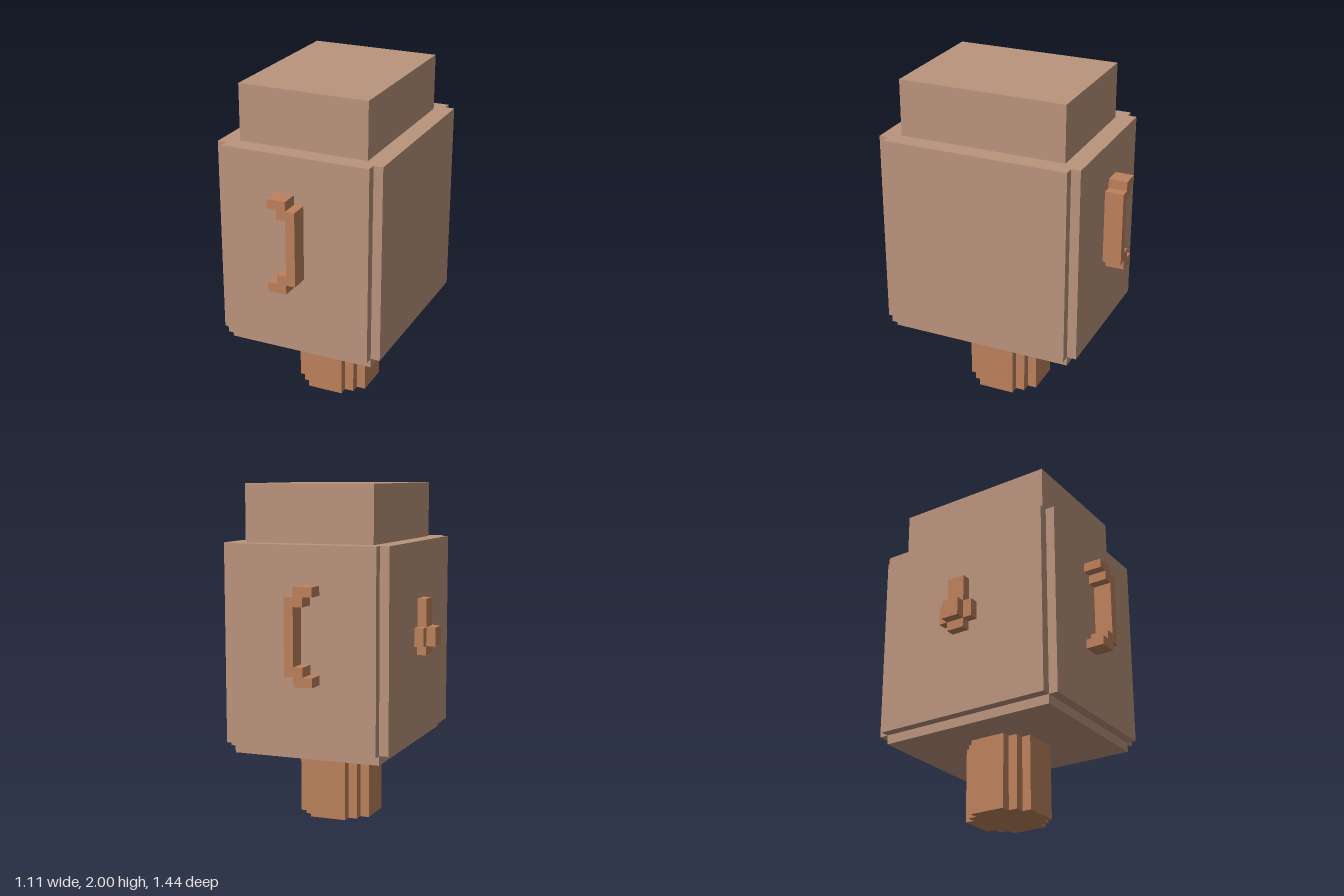
import * as THREE from 'three';

const U = 1 / 18; // one grid step

export function createModel() {
  const model = new THREE.Group();
  const clay = new THREE.MeshStandardMaterial({ name: 'pale clay', color: 0xba947c });
  const copper = new THREE.MeshStandardMaterial({ name: 'copper brown', color: 0xbc815c });

  // Box given by its two corners in grid steps
  const box = (name, mat, [x0, y0, z0], [x1, y1, z1], parent = model) => {
    const geo = new THREE.BoxGeometry((x1 - x0) * U, (y1 - y0) * U, (z1 - z0) * U);
    const mesh = new THREE.Mesh(geo, mat);
    mesh.name = name;
    mesh.position.set((x0 + x1) / 2 * U, (y0 + y1) / 2 * U, (z0 + z1) / 2 * U);
    parent.add(mesh);
    return mesh;
  };

  // Outline extruded towards +z
  const extrude = (points, depth) => new THREE.ExtrudeGeometry(
    new THREE.Shape(points.map(([x, y]) => new THREE.Vector2(x * U, y * U))),
    { depth: depth * U, bevelEnabled: false });

  // Upright prism with stepped corners; the corner steps are mirrored into all four quadrants
  const column = (name, mat, corner, y0, y1) => {
    const back = [...corner].reverse();
    const outline = [
      ...corner,
      ...back.map(([x, z]) => [-x, z]),
      ...corner.map(([x, z]) => [-x, -z]),
      ...back.map(([x, z]) => [x, -z]),
    ];
    const geo = extrude(outline, y1 - y0).rotateX(-Math.PI / 2);
    const mesh = new THREE.Mesh(geo, mat);
    mesh.name = name;
    mesh.position.set(U, y0 * U, 0);
    model.add(mesh);
  };

  // Stem, body and cap
  column('stem', copper, [[4, 2], [3, 2], [3, 3], [2, 3], [2, 4]], 0, 8);
  box('bodyBase', clay, [-7, 8, -10], [9, 9, 10]);
  column('body', clay, [[9, 10], [8, 10], [8, 11]], 9, 30);
  box('cap', clay, [-6, 30, -9], [8, 36, 9]);

  // Bracket-shaped handles on front and back
  const bracket = [[-1, 16], [1, 16], [1, 17], [2, 17], [2, 25], [1, 25], [1, 26], [-1, 26],
    [-1, 25], [0, 25], [0, 24], [1, 24], [1, 18], [0, 18], [0, 17], [-1, 17]];
  for (const [name, z] of [['frontHandle', 11], ['backHandle', -13]]) {
    const handle = new THREE.Mesh(extrude(bracket, 2), copper);
    handle.name = name;
    handle.position.z = z * U;
    model.add(handle);
  }

  // Cross-shaped latch on the right side
  const latch = new THREE.Group();
  latch.name = 'latch';
  model.add(latch);
  const cross = [[-1, 18], [1, 18], [1, 19], [2, 19], [2, 21], [1, 21], [1, 24], [-1, 24],
    [-1, 21], [-2, 21], [-2, 19], [-1, 19]];
  const plate = new THREE.Mesh(extrude(cross, 1).rotateY(-Math.PI / 2), copper);
  plate.name = 'latchCross';
  plate.position.x = -8 * U;
  latch.add(plate);
  box('latchKnob', copper, [-10, 19, -1], [-9, 21, 1], latch);

  return model;
}
